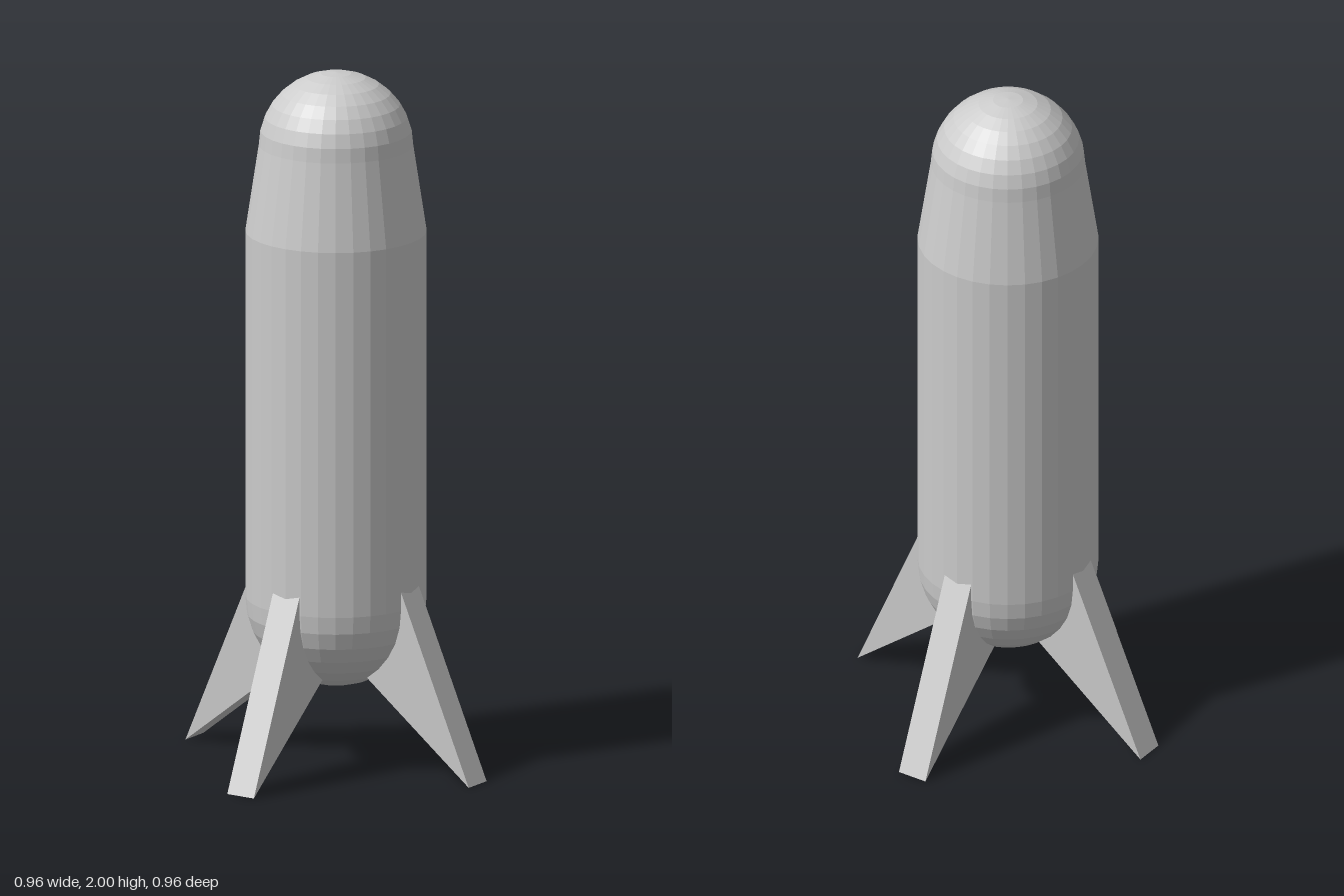
import * as THREE from 'three';

const material = new THREE.MeshStandardMaterial({ color: 0xcccccc, flatShading: true });

// Quarter-ellipse points, from angle a to b in 8 steps
function arc(cy, rx, ry, a, b) {
  return Array.from({ length: 9 }, (_, i) => {
    const t = a + ((b - a) * i) / 8;
    return new THREE.Vector2(Math.max(0, rx * Math.cos(t)), cy + ry * Math.sin(t));
  });
}

export function createModel() {
  const model = new THREE.Group();
  model.name = 'rocket';

  // Hull: round tail, straight sides, tapered shoulder, domed nose
  const profile = [
    ...arc(0.48, 0.255, 0.255, -Math.PI / 2, 0),
    new THREE.Vector2(0.255, 1.54),
    ...arc(1.79, 0.217, 0.21, 0, Math.PI / 2),
  ];
  const hull = new THREE.Mesh(new THREE.LatheGeometry(profile, 32), material);
  hull.name = 'hull';
  model.add(hull);

  // Four swept triangular fins, rooted inside the hull
  const thickness = 0.09;
  const outline = new THREE.Shape([
    new THREE.Vector2(0.1, 0.297),
    new THREE.Vector2(0.48, 0),
    new THREE.Vector2(0.235, 0.57),
  ]);
  const finGeometry = new THREE.ExtrudeGeometry(outline, { depth: thickness, bevelEnabled: false });
  finGeometry.translate(0, 0, -thickness / 2);
  ['leftFin', 'backFin', 'rightFin', 'frontFin'].forEach((name, i) => {
    const fin = new THREE.Mesh(finGeometry, material);
    fin.name = name;
    fin.rotation.y = (i * Math.PI) / 2;
    model.add(fin);
  });

  return model;
}
